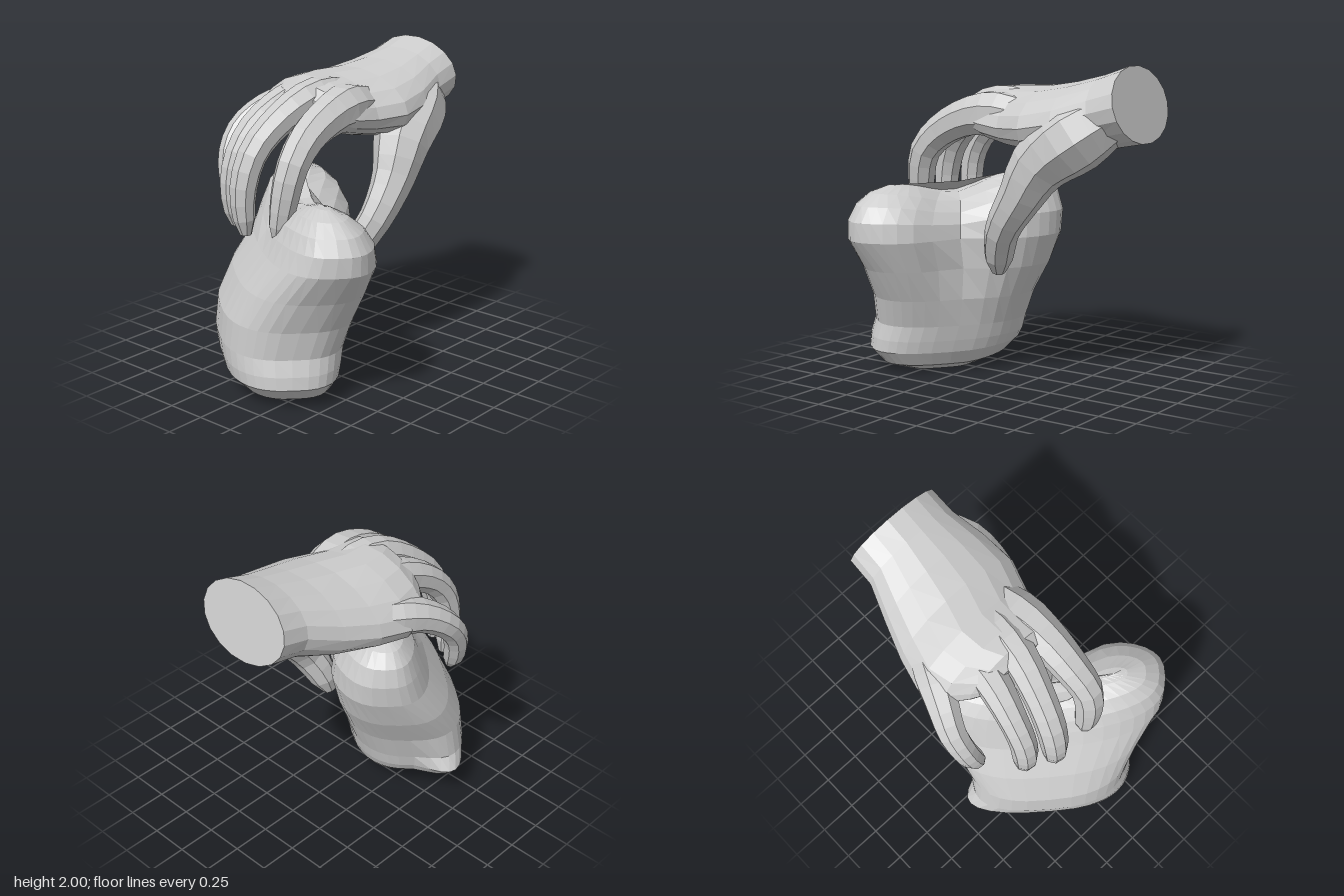
import * as THREE from 'three';

const V = (x, y, z) => new THREE.Vector3(x, y, z);
const { smoothstep } = THREE.MathUtils;

// Closed skin over a list of equal-sized rings, with a fan cap at both ends
function loft(rings) {
  const n = rings[0].length, pos = [], idx = [];
  rings.forEach(r => r.forEach(p => pos.push(p.x, p.y, p.z)));
  for (let i = 0; i < rings.length - 1; i++) {
    for (let j = 0; j < n; j++) {
      const a = i * n + j, b = i * n + (j + 1) % n;
      idx.push(a, b, a + n, b, b + n, a + n);
    }
  }
  [0, rings.length - 1].forEach((k, end) => {
    const c = rings[k].reduce((s, p) => s.add(p), V(0, 0, 0)).divideScalar(n);
    const ci = pos.length / 3;
    pos.push(c.x, c.y, c.z);
    for (let j = 0; j < n; j++) {
      const a = k * n + j, b = k * n + (j + 1) % n;
      if (end) idx.push(a, b, ci); else idx.push(b, a, ci);
    }
  });
  // Turn the skin outwards if its signed volume is negative
  const at = i => V(pos[i * 3], pos[i * 3 + 1], pos[i * 3 + 2]);
  let vol = 0;
  for (let i = 0; i < idx.length; i += 3) vol += at(idx[i]).dot(at(idx[i + 1]).cross(at(idx[i + 2])));
  if (vol < 0) idx.reverse();
  const g = new THREE.BufferGeometry();
  g.setAttribute('position', new THREE.Float32BufferAttribute(pos, 3));
  g.setIndex(idx);
  g.computeVertexNormals();
  return g;
}

// Tapered finger along points [x, y, z, radius], rounded at the tip
function digit(points, steps = 14, sides = 8) {
  const curve = new THREE.CatmullRomCurve3(points.map(p => V(p[0], p[1], p[2])));
  const radii = new THREE.CatmullRomCurve3(points.map((p, i) => V(i, p[3], 0)));
  const frames = curve.computeFrenetFrames(steps, false);
  const rings = [];
  for (let i = 0; i <= steps; i++) {
    const t = i / steps, c = curve.getPointAt(t);
    const r = radii.getPoint(curve.getUtoTmapping(t)).y * (i === steps ? 0.6 : 1);
    rings.push(Array.from({ length: sides }, (_, j) => {
      const a = (j + 0.5) / sides * Math.PI * 2;
      return c.clone().addScaledVector(frames.normals[i], r * Math.cos(a))
        .addScaledVector(frames.binormals[i], r * Math.sin(a));
    }));
  }
  return loft(rings);
}

// Two-lobed lump: rounded slab standing diagonally; v runs along it, u across it
function lumpGeometry() {
  // y, vMin, vMax, uMin, uMax
  const levels = [
    [0.00, -0.62, -0.15, 0.2, 0.52], [0.05, -0.78, 0.06, 0.1, 0.66],
    [0.14, -0.86, 0.15, 0.05, 0.75], [0.22, -0.85, 0.18, 0.03, 0.77], [0.32, -0.82, 0.2, 0.01, 0.78],
    [0.5, -0.84, 0.25, -0.06, 0.76], [0.7, -0.91, 0.34, -0.13, 0.66],
    [0.9, -1.01, 0.4, -0.17, 0.52], [1.05, -1.01, 0.41, -0.15, 0.46],
    [1.17, -0.96, 0.38, -0.09, 0.41], [1.25, -0.87, 0.31, 0, 0.34],
    [1.295, -0.75, 0.2, 0.1, 0.25], [1.305, -0.66, 0.1, 0.17, 0.18],
  ];
  const sides = 36, soft = c => Math.sign(c) * Math.abs(c) ** 0.75;
  return loft(levels.map(([y, v0, v1, u0, u1]) => Array.from({ length: sides }, (_, j) => {
    const a = j / sides * Math.PI * 2, cu = soft(Math.sin(a)), cv = soft(Math.cos(a));
    const corner = 2 * Math.max(0, Math.cos(a)) * Math.max(0, Math.sin(a));
    const v = (v0 + v1) / 2 + (v1 - v0) / 2 * cv
      + 0.15 * corner * Math.exp(-(((y - 0.2) / 0.12) ** 2));   // pinched bottom corner
    let u = (u0 + u1) / 2 + (u1 - u0) / 2 * cu + 0.12 * (v + 0.29);
    const mid = Math.exp(-(((v + 0.3) / 0.24) ** 2));
    if (cu < 0) u -= 0.15 * mid * smoothstep(y, 0.3, 0.9) * cu; // hollow front face
    const top = smoothstep(y, 0.85, 1.25);
    const h = y - top * (0.12 * mid + 0.06 * smoothstep(-v, 0.1, 0.7)) // saddle
      + 0.06 * (1 - smoothstep(y, 0, 0.3)) * smoothstep(v, -0.3, 0.2); // raised underside
    return V((v - u) / Math.SQRT2, h, -(u + v) / Math.SQRT2);
  })));
}

// Wrist and palm: oval rings along x, drooping towards the little finger
function palmGeometry() {
  // x, centre y, centre z, half height, half width, tilt of the ring, droop
  const rings = [
    [0.92, 1.77, -0.085, 0.235, 0.335, -0.21, 0], [0.74, 1.725, -0.085, 0.225, 0.34, -0.15, 0],
    [0.52, 1.67, -0.1, 0.235, 0.41, -0.05, 0.1], [0.3, 1.655, -0.13, 0.22, 0.46, 0, 0.2],
    [0.1, 1.67, -0.19, 0.2, 0.45, 0, 0.35], [-0.06, 1.69, -0.18, 0.175, 0.42, 0, 0.4],
    [-0.17, 1.7, -0.13, 0.135, 0.34, 0, 0.45], [-0.23, 1.69, -0.11, 0.08, 0.26, 0, 0.45],
  ];
  return loft(rings.map(([x, cy, cz, hy, hz, tilt, droop]) => Array.from({ length: 18 }, (_, j) => {
    const a = j / 18 * Math.PI * 2;
    const dy = hy * Math.sin(a), dz = hz * Math.cos(a);
    const fall = droop * (dz < 0 ? dz * dz * 1.5 : dz * dz * 0.8);
    return V(x + tilt * dy, cy + dy - fall, cz + dz);
  })));
}

export function createModel() {
  const group = new THREE.Group();
  const material = new THREE.MeshStandardMaterial({ color: 0xcccccc, flatShading: true });
  const add = (name, geometry, parent = group) => {
    const mesh = new THREE.Mesh(geometry, material);
    mesh.name = name;
    parent.add(mesh);
  };

  add('lump', lumpGeometry());

  const hand = new THREE.Group();
  hand.name = 'hand';
  group.add(hand);
  add('palm', palmGeometry(), hand);

  // Each digit starts inside the palm so that it grows out of it
  const digits = {
    thumb: [[0.82, 1.73, 0, 0.16], [0.6, 1.58, 0.13, 0.225], [0.39, 1.4, 0.21, 0.185],
      [0.27, 1.2, 0.24, 0.14], [0.13, 0.99, 0.23, 0.112], [0.06, 0.84, 0.17, 0.1], [0.02, 0.69, 0.12, 0.075]],
    indexFinger: [[0.2, 1.66, 0.06, 0.13], [-0.02, 1.69, 0.09, 0.15], [-0.2, 1.67, 0.11, 0.13],
      [-0.42, 1.57, 0.12, 0.112], [-0.56, 1.43, 0.13, 0.1], [-0.61, 1.24, 0.11, 0.09], [-0.63, 0.97, 0.07, 0.062]],
    middleFinger: [[0.2, 1.72, -0.08, 0.1], [-0.02, 1.75, -0.08, 0.12], [-0.2, 1.73, -0.1, 0.115],
      [-0.42, 1.61, -0.15, 0.1], [-0.57, 1.45, -0.19, 0.095], [-0.64, 1.22, -0.21, 0.085], [-0.63, 0.95, -0.2, 0.06]],
    ringFinger: [[0.2, 1.7, -0.28, 0.1], [0, 1.71, -0.29, 0.12], [-0.2, 1.67, -0.31, 0.11],
      [-0.4, 1.56, -0.35, 0.092], [-0.52, 1.4, -0.37, 0.085], [-0.56, 1.2, -0.38, 0.08], [-0.54, 0.96, -0.37, 0.058]],
    littleFinger: [[0.3, 1.63, -0.42, 0.1], [0.1, 1.61, -0.51, 0.125], [-0.06, 1.57, -0.59, 0.105],
      [-0.2, 1.47, -0.65, 0.09], [-0.3, 1.33, -0.65, 0.08], [-0.34, 1.18, -0.62, 0.072], [-0.36, 1.05, -0.57, 0.052]],
  };
  for (const [name, points] of Object.entries(digits)) add(name, digit(points), hand);

  return group;
}
